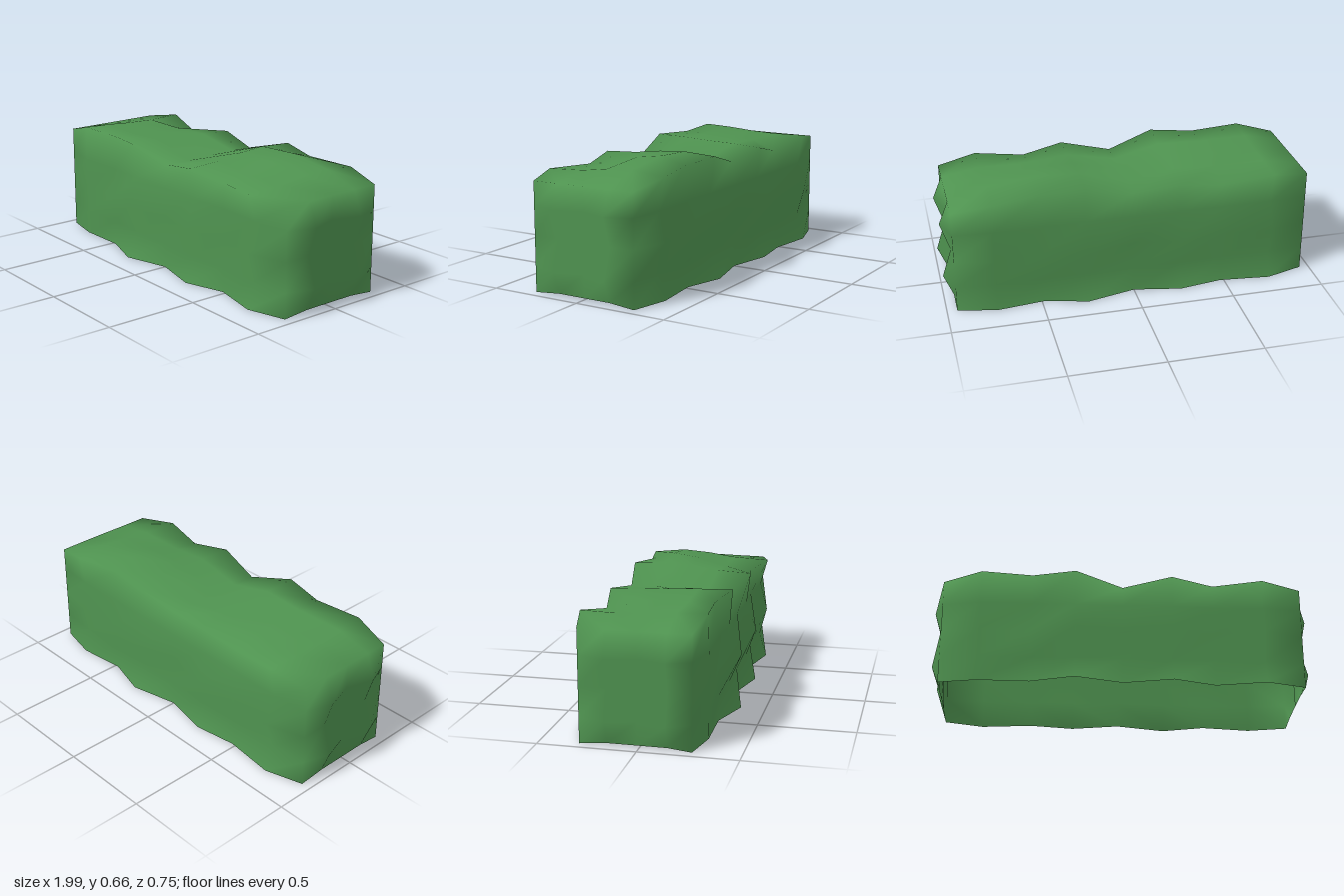
import * as THREE from 'three';
import { mergeVertices } from 'three/addons/utils/BufferGeometryUtils.js';

// Profiles along the hedge, from -x to +x: wall bulge, rim depth and rim height
const X = [-0.95, -0.75, -0.48, -0.25, 0, 0.26, 0.48, 0.74, 0.947];
const FRONT_Z = [0.26, 0.3, 0.295, 0.37, 0.3, 0.36, 0.29, 0.345, 0.285];
const BACK_Z = [-0.3, -0.36, -0.33, -0.365, -0.315, -0.375, -0.315, -0.345, -0.3];
const FRONT_RIM = [0.26, 0.295, 0.275, 0.32, 0.27, 0.325, 0.285, 0.345, 0.285];
const BACK_RIM = [-0.3, -0.345, -0.29, -0.335, -0.29, -0.34, -0.295, -0.34, -0.3];
const FRONT_TOP = [0.58, 0.632, 0.625, 0.635, 0.565, 0.61, 0.578, 0.588, 0.565];
const RIDGE_TOP = [0.58, 0.61, 0.61, 0.62, 0.575, 0.65, 0.66, 0.63, 0.57];
const BACK_TOP = [0.58, 0.615, 0.56, 0.61, 0.57, 0.64, 0.62, 0.61, 0.57];
const ROWS = [0, 0.135, 0.29, 0.445];
const Z = [-0.3, -0.16, -0.01, 0.14, 0.28];

// Height of the top sheet, with a ridge along k = 1
function topHeight(i, k) {
  if (k === 0) return BACK_TOP[i];
  return THREE.MathUtils.lerp(RIDGE_TOP[i], FRONT_TOP[i], [0, 0, 0.25, 0.75, 1][k]);
}

// Position of grid point i (length), j (height), k (depth)
function leafPoint(i, j, k) {
  let x = X[i], z = Z[k];
  let y = j < 4 ? ROWS[j] : topHeight(i, k);
  const end = i === 0 || i === 8;
  if (j === 0 && end && k > 0 && k < 4) y = 0.013;
  // long walls bulge on the even rows, ends on the odd rows
  if (k === 4) z = j === 4 ? FRONT_RIM[i] : j % 2 ? Math.min(FRONT_Z[i], 0.305) : FRONT_Z[i];
  if (k === 0) z = j === 4 ? BACK_RIM[i] : j % 2 ? Math.max(BACK_Z[i], -0.315) : BACK_Z[i];
  if (end && j % 2 && k % 2) x = Math.sign(x) * 0.997;
  return [x, y, z];
}

export function createModel() {
  const group = new THREE.Group();
  group.name = 'hedge';

  const box = new THREE.BoxGeometry(8, 4, 4, 8, 4, 4);
  // Leave the underside open
  const { start, count } = box.groups[3];
  const index = Array.from(box.index.array);
  index.splice(start, count);
  box.setIndex(index);
  box.deleteAttribute('normal');
  box.deleteAttribute('uv');

  // Weld the faces and shape the grid
  const geometry = mergeVertices(box);
  geometry.clearGroups();
  const p = geometry.attributes.position;
  for (let n = 0; n < p.count; n++) {
    const [i, j, k] = [p.getX(n) + 4, p.getY(n) + 2, p.getZ(n) + 2].map(Math.round);
    p.setXYZ(n, ...leafPoint(i, j, k));
  }
  geometry.computeVertexNormals();

  const foliage = new THREE.Mesh(geometry, new THREE.MeshStandardMaterial({ color: 0x4f9350, side: THREE.DoubleSide }));
  foliage.name = 'foliage';
  group.add(foliage);
  return group;
}
